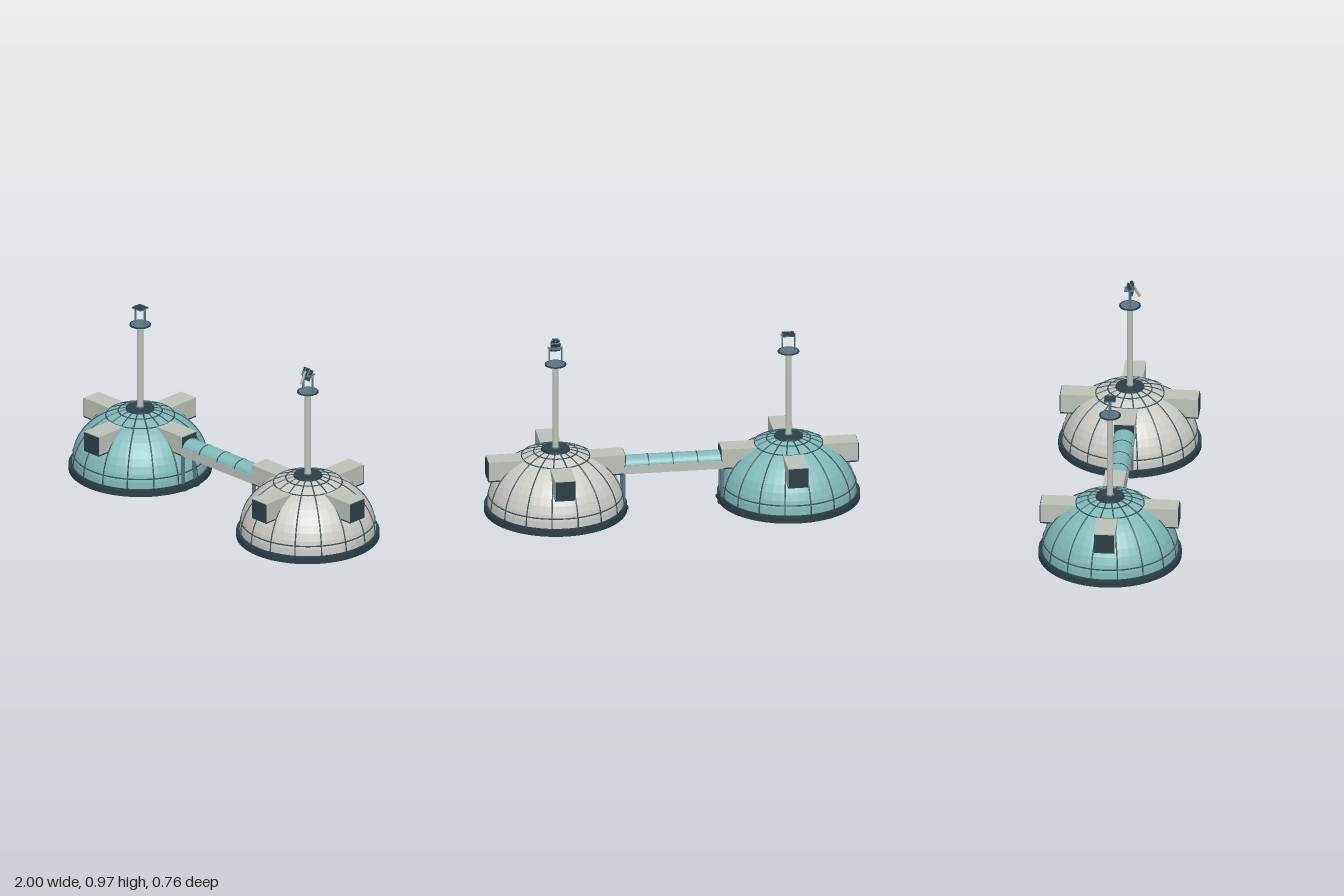
import * as THREE from 'three';

const mat = (name, color, opts = {}) => {
  const m = new THREE.MeshStandardMaterial({ color, ...opts });
  m.name = name;
  return m;
};

// Dome ellipse: radius, height, and level of its foot
const R = 0.36, H = 0.318, FOOT = 0.032;
const domeRadius = (y) => R * Math.sqrt(1 - ((y - FOOT) / H) ** 2);

export function createModel() {
  const teal = mat('teal panels', 0x80b9b9, { flatShading: true });
  const pale = mat('pale panels', 0xcbc9c4, { flatShading: true });
  const grey = mat('grey hull', 0xbcc1b9);
  const dark = mat('dark trim', 0x2b4048);
  const rib = mat('rib metal', 0x3c545c);
  const steel = mat('steel', 0x5b7685);
  const beige = mat('beige barrel', 0xb0a48e);
  const gold = mat('gold', 0xc8923f);

  const add = (parent, name, geo, material, x = 0, y = 0, z = 0) => {
    const mesh = new THREE.Mesh(geo, material);
    mesh.name = name;
    mesh.position.set(x, y, z);
    parent.add(mesh);
    return mesh;
  };
  const group = (parent, name, x = 0, y = 0, z = 0) => {
    const g = new THREE.Group();
    g.name = name;
    g.position.set(x, y, z);
    parent.add(g);
    return g;
  };
  const box = (w, h, d) => new THREE.BoxGeometry(w, h, d);
  const cyl = (r, h, n = 24, top = r) => new THREE.CylinderGeometry(top, r, h, n);

  // Shared dome shell and rib geometry
  const shellPoints = [], ribPoints = [];
  for (let i = 0; i <= 12; i++) {
    const a = (i / 12) * Math.PI / 2;
    shellPoints.push(new THREE.Vector2(R * Math.cos(a), FOOT + H * Math.sin(a)));
    const b = (i / 12) * 1.38;
    ribPoints.push(new THREE.Vector3(R * Math.cos(b), FOOT + H * Math.sin(b), 0));
  }
  shellPoints[12].x = 0;
  const shellGeo = new THREE.LatheGeometry(shellPoints, 48);
  const ribGeo = new THREE.TubeGeometry(new THREE.CatmullRomCurve3(ribPoints), 20, 0.0038, 5);

  // Box arm sticking out of the dome along +x
  function addArm(parent, angle) {
    const arm = group(parent, 'arm');
    arm.rotation.y = angle;
    add(arm, 'armHull', box(0.225, 0.104, 0.11), grey, 0.2505, 0.257, 0);
    add(arm, 'armFloor', box(0.22, 0.009, 0.108), dark, 0.255, 0.2015, 0);
    add(arm, 'endFrame', box(0.003, 0.106, 0.106), dark, 0.3645, 0.252, 0);
    add(arm, 'endWindow', box(0.003, 0.092, 0.094), dark, 0.3665, 0.253, 0);
  }

  // Fork mount on the mast, carrying a panel or a barrelled instrument
  function addInstrument(parent, tilted) {
    const mount = group(parent, 'instrument', 0, 0.83, 0);
    for (const s of [-1, 1]) add(mount, 'forkPost', box(0.007, 0.095, 0.009), steel, s * 0.034, 0.0475, 0);
    add(mount, 'axle', cyl(0.004, 0.076, 8), steel, 0, 0.094, 0).rotation.z = Math.PI / 2;
    add(mount, 'axleKnob', box(0.005, 0.009, 0.009), gold, 0.039, 0.094, 0);
    const head = group(mount, 'head', 0, 0.094, 0);
    add(head, 'headPlate', box(0.062, 0.008, 0.058), dark);
    add(head, 'headRim', box(0.066, 0.003, 0.062), steel);
    if (!tilted) return;
    head.rotation.x = Math.PI / 3;
    head.children.forEach((m) => { m.scale.x = 0.8; });
    add(head, 'bracket', box(0.018, 0.026, 0.02), dark, 0, 0.014, 0);
    add(head, 'barrel', cyl(0.0075, 0.088, 12), beige, 0, 0.026, 0.012).rotation.x = Math.PI / 2;
    add(head, 'barrelTip', cyl(0.0085, 0.006, 12), gold, 0, 0.026, 0.055).rotation.x = Math.PI / 2;
    add(head, 'barrelBack', box(0.032, 0.014, 0.02), dark, 0, 0.026, -0.024);
    for (const s of [-1, 1]) {
      add(head, 'sideTube', cyl(0.005, 0.04, 8), steel, s * 0.019, 0.022, -0.012).rotation.x = Math.PI / 2;
    }
    add(mount, 'rearShelf', box(0.05, 0.006, 0.05), steel, 0, 0.094, -0.004);
  }

  function addStation(parent, x, skin, tilted) {
    const station = group(parent, tilted ? 'paleStation' : 'tealStation', x);
    add(station, 'baseRing', cyl(0.378, 0.031, 64), dark, 0, 0.0155, 0);
    add(station, 'baseLip', cyl(0.372, 0.008, 64), dark, 0, 0.034, 0);
    add(station, 'domeShell', shellGeo, skin);
    for (let i = 0; i < 16; i++) {
      add(station, 'domeRib', ribGeo, rib).rotation.y = (i + 0.5) * Math.PI / 8;
    }
    for (const y of [0.091, 0.307, 0.333]) {
      const hoop = new THREE.TorusGeometry(domeRadius(y), 0.0038, 5, 64);
      add(station, 'domeHoop', hoop, rib, 0, y, 0).rotation.x = Math.PI / 2;
    }
    for (let i = 0; i < 4; i++) addArm(station, i * Math.PI / 2);
    // Crown, mast and platform
    add(station, 'crown', cyl(0.077, 0.012, 32, 0.074), dark, 0, 0.347, 0);
    add(station, 'mastFoot', cyl(0.021, 0.008), steel, 0, 0.355, 0);
    add(station, 'mast', cyl(0.017, 0.47), grey, 0, 0.587, 0);
    add(station, 'mastNeck', cyl(0.02, 0.008), steel, 0, 0.823, 0);
    add(station, 'platform', cyl(0.057, 0.005, 32), dark, 0, 0.828, 0);
    add(station, 'platformTop', cyl(0.048, 0.002, 32), steel, 0, 0.8312, 0);
    addInstrument(station, tilted);
  }

  const model = new THREE.Group();
  model.name = 'twinDomeStation';
  addStation(model, -0.62, teal, false);
  addStation(model, 0.62, pale, true);

  // Connecting corridor with a rounded glazed roof
  const corridor = group(model, 'corridor');
  add(corridor, 'corridorBody', box(0.53, 0.046, 0.11), grey, 0, 0.223, 0);
  const roofGeo = (len, r) => {
    const g = new THREE.CylinderGeometry(r, r, len, 16, 1, false, 0, Math.PI);
    return g.rotateZ(Math.PI / 2).scale(1, 0.75, 1);
  };
  add(corridor, 'corridorRoof', roofGeo(0.524, 0.0535), teal, 0, 0.243, 0);
  for (let i = -2; i <= 2; i++) {
    add(corridor, 'roofHoop', roofGeo(0.006, 0.0555), rib, i * 0.13, 0.243, 0);
  }
  // Corridor support posts
  for (const sx of [-1, 1]) for (const sz of [-1, 1]) {
    add(corridor, 'supportPost', box(0.016, 0.2, 0.014), steel, sx * 0.262, 0.1, sz * 0.042);
    add(corridor, 'supportFoot', box(0.034, 0.012, 0.03), dark, sx * 0.256, 0.006, sz * 0.042);
  }
  return model;
}
